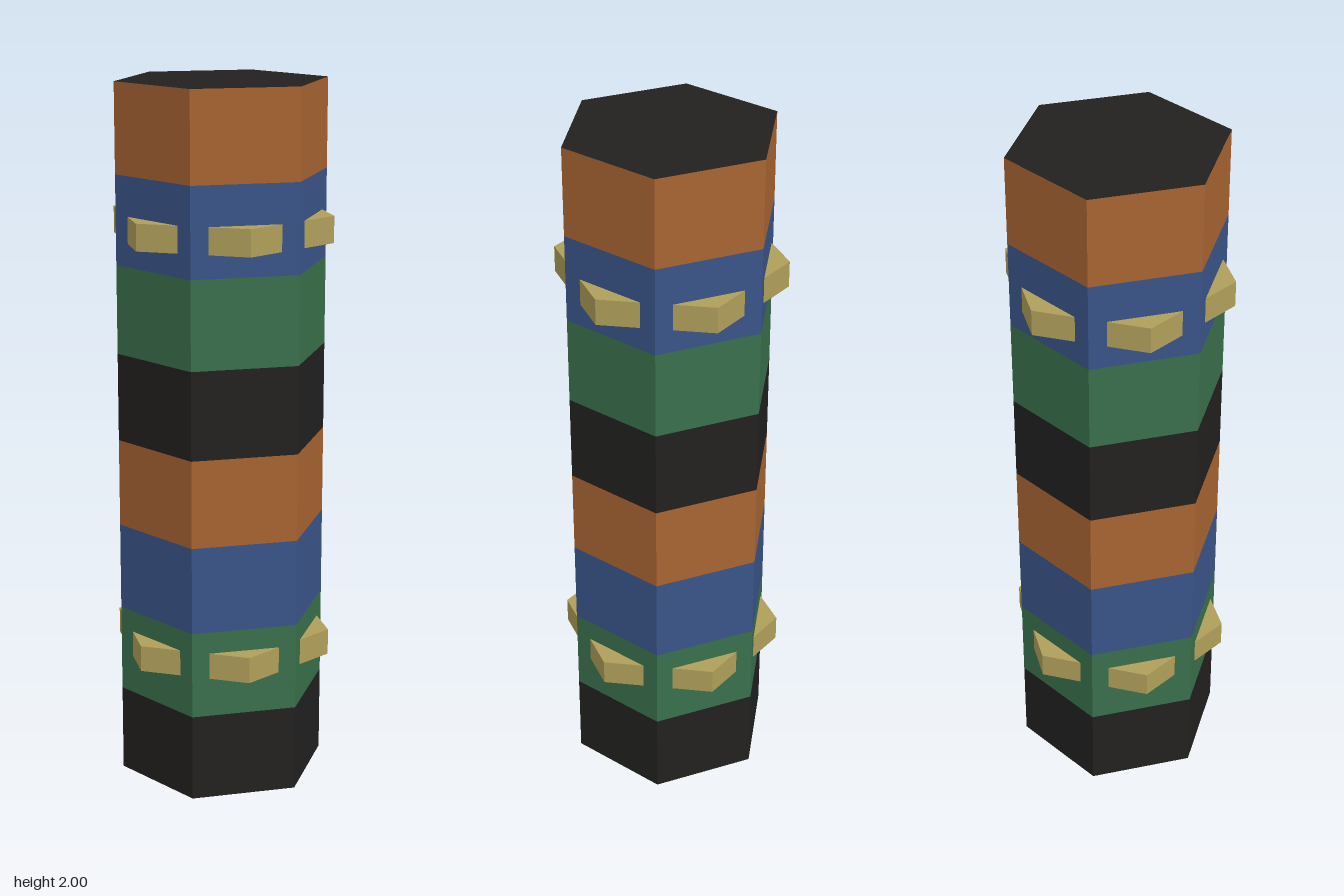
import * as THREE from 'three';

const SIDES = 6;
const RADIUS = 0.3;
const BAND_HEIGHT = 0.25;
const BLACK = 0x222120, GREEN = 0x3a704c, BLUE = 0x3a5488, ORANGE = 0xa86432, GOLD = 0xb09f5a;

function makeMesh(name, geometry, color, y, side = THREE.FrontSide) {
  const material = new THREE.MeshStandardMaterial({ color, flatShading: true, side });
  const mesh = new THREE.Mesh(geometry, material);
  mesh.name = name;
  mesh.position.y = y;
  return mesh;
}

export function createModel() {
  const model = new THREE.Group();
  model.name = 'stripedPost';

  // Hollow hexagonal post: eight stacked bands, corners on the x axis
  const bandColors = [BLACK, GREEN, BLUE, ORANGE];
  const bandGeometry = new THREE.CylinderGeometry(RADIUS, RADIUS, BAND_HEIGHT, SIDES, 1, true, Math.PI / SIDES);
  for (let i = 0; i < 8; i++) {
    model.add(makeMesh(`band${i + 1}`, bandGeometry, bandColors[i % 4], (i + 0.5) * BAND_HEIGHT, THREE.DoubleSide));
  }

  // Top cap; the bottom stays open
  const capGeometry = new THREE.CircleGeometry(RADIUS, SIDES).rotateX(-Math.PI / 2);
  model.add(makeMesh('topCap', capGeometry, BLACK, 8 * BAND_HEIGHT, THREE.DoubleSide));

  // Collars turned half a side, so only their corners poke through the faces
  const collarGeometry = new THREE.CylinderGeometry(0.318, 0.318, 0.075, SIDES);
  model.add(makeMesh('lowerCollar', collarGeometry, GOLD, 0.4));
  model.add(makeMesh('upperCollar', collarGeometry, GOLD, 1.602));

  return model;
}
